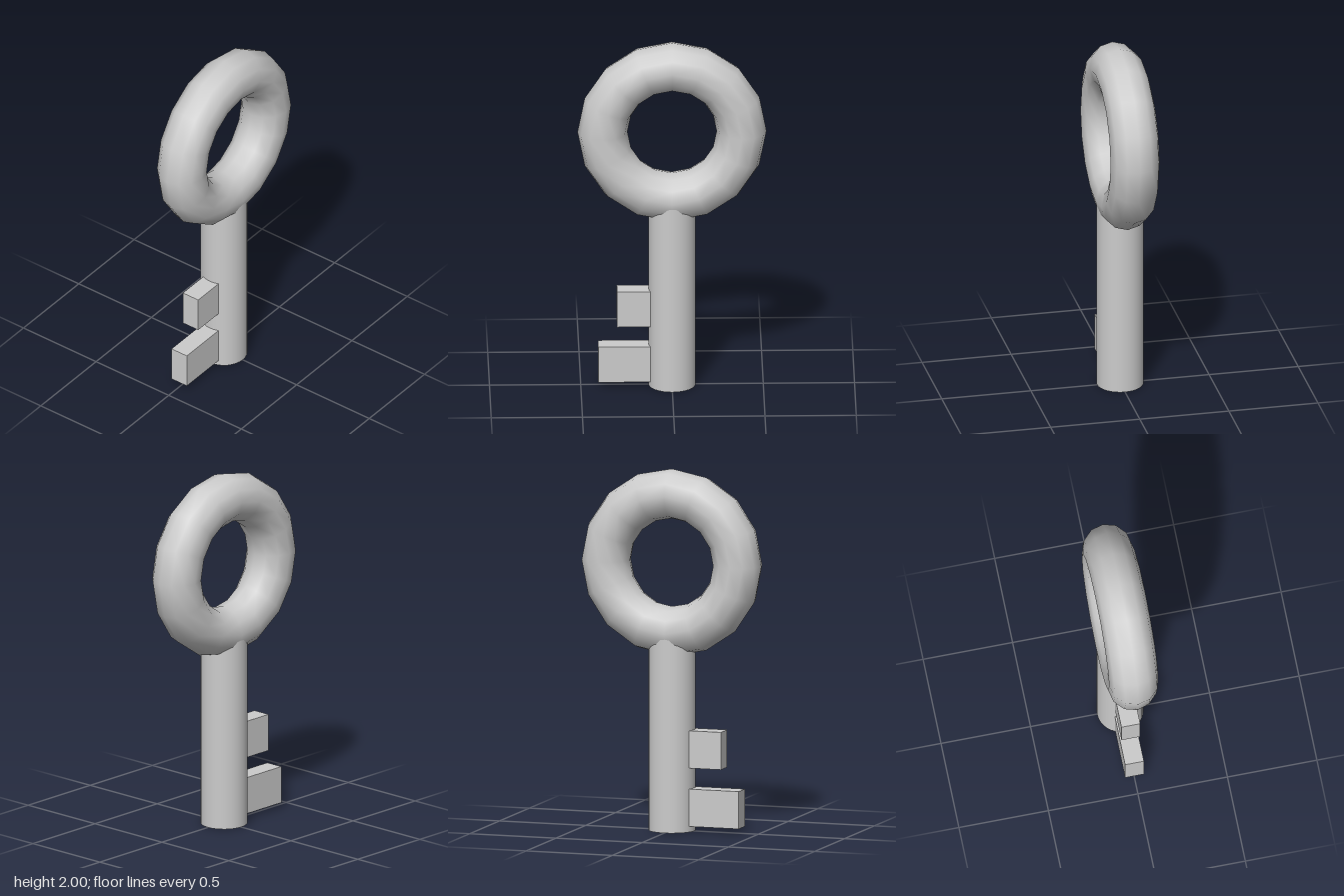
import * as THREE from 'three';

export function createModel() {
  const key = new THREE.Group();
  key.name = 'key';
  const material = new THREE.MeshStandardMaterial({ color: 0xcccccc });

  const add = (name, geometry, x, y) => {
    const mesh = new THREE.Mesh(geometry, material);
    mesh.name = name;
    mesh.position.set(x, y, 0);
    key.add(mesh);
  };

  // Ring handle
  add('handleRing', new THREE.TorusGeometry(0.381, 0.137, 12, 16), 0, 1.482);

  // Round shaft, its top end buried in the ring
  const shaftTop = 1.1;
  add('shaft', new THREE.CylinderGeometry(0.129, 0.129, shaftTop, 32), 0, shaftTop / 2);

  // Two square teeth reaching out from inside the shaft
  const toothRoot = -0.06;
  const teeth = [
    { name: 'upperTooth', tip: -0.302, y: 0.458 },
    { name: 'lowerTooth', tip: -0.405, y: 0.135 },
  ];
  for (const { name, tip, y } of teeth) {
    add(name, new THREE.BoxGeometry(toothRoot - tip, 0.207, 0.105), (toothRoot + tip) / 2, y);
  }

  return key;
}
